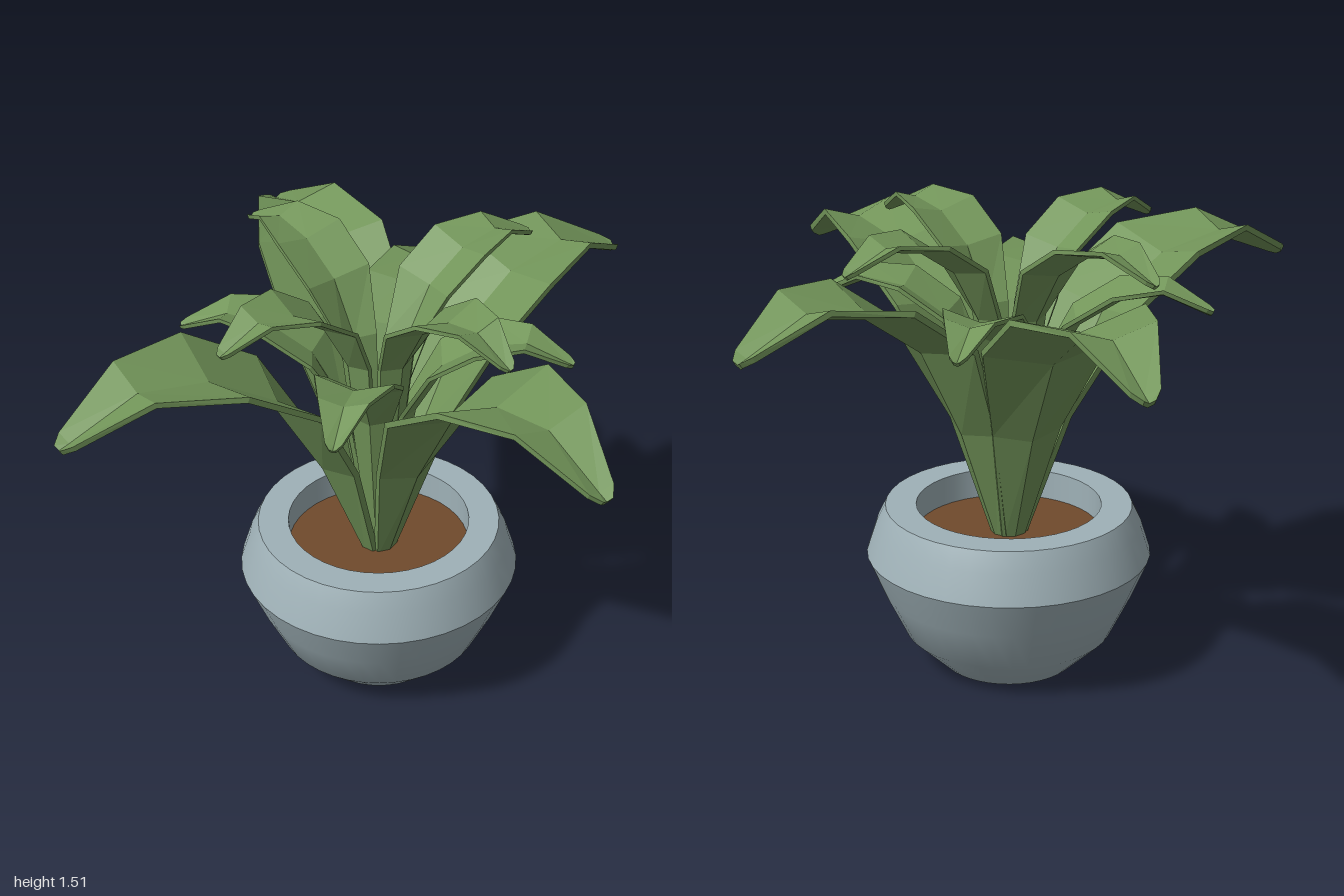
import * as THREE from 'three';

const leafMat = new THREE.MeshStandardMaterial({ color: 0x73965a, flatShading: true });
const potMat = new THREE.MeshStandardMaterial({ color: 0x9fb1b7 });
const soilMat = new THREE.MeshStandardMaterial({ color: 0x704a2c });

// Leaf stations: distance out, height of the edges, half width, fold depth
const STATIONS = [
  [0.02, 0.43, 0.035, 0.012],
  [0.14, 0.85, 0.115, 0.05],
  [0.31, 1.18, 0.21, 0.06],
  [0.56, 1.35, 0.215, 0.06],
  [0.82, 1.38, 0.135, 0.045],
  [1.045, 1.26, 0.046, 0.02],
  [1.075, 1.24, 0.018, 0.012],
];

// Smaller leaf: the same arch shrunk and lifted, on a stem down to the soil
function smallStations(size, lift) {
  const arch = STATIONS.slice(1).map(([x, y, w, fold]) => [x * size, y * size + lift, w * size, fold * size]);
  return [[0.01, 0.43, 0.025, 0.01], ...arch];
}

// Arching leaf with a V fold and a little thickness, growing towards +x
function leafGeometry(stations, thick) {
  const pos = [];
  const index = [];
  const last = stations.length - 1;
  stations.forEach(([x, y, w, fold], i) => {
    const a = stations[Math.max(i - 1, 0)];
    const b = stations[Math.min(i + 1, last)];
    const len = Math.hypot(b[0] - a[0], b[1] - a[1]);
    const nx = -(b[1] - a[1]) / len;
    const ny = (b[0] - a[0]) / len;
    // Ring: top edge, top rib, top edge, then the same underneath
    const ring = [[0, -w], [fold, 0], [0, w], [thick, w], [fold + thick, 0], [thick, -w]];
    for (const [d, z] of ring) pos.push(x - nx * d, y - ny * d, z);
  });
  const quad = (a, b, c, d) => index.push(a, b, c, a, c, d);
  for (let i = 0; i < last; i++) {
    for (let j = 0; j < 6; j++) {
      const k = (j + 1) % 6;
      quad(i * 6 + j, i * 6 + k, i * 6 + 6 + k, i * 6 + 6 + j);
    }
  }
  // End caps
  const t = last * 6;
  quad(t, t + 1, t + 4, t + 5);
  quad(t + 1, t + 2, t + 3, t + 4);
  quad(5, 4, 1, 0);
  quad(4, 3, 2, 1);
  const g = new THREE.BufferGeometry();
  g.setAttribute('position', new THREE.Float32BufferAttribute(pos, 3));
  g.setIndex(index);
  const flat = g.toNonIndexed();
  flat.computeVertexNormals();
  return flat;
}

// Pot made of lathed bands, split where the edges are sharp
function makePot() {
  const pot = new THREE.Group();
  pot.name = 'pot';
  const bands = {
    potBase: [[0, 0], [0.22, 0]],
    potBowl: [[0.22, 0], [0.34, 0.115], [0.41, 0.26], [0.462, 0.385]],
    potShoulder: [[0.462, 0.385], [0.43, 0.485], [0.4, 0.547]],
    potRim: [[0.4, 0.547], [0.3, 0.547]],
    potInnerWall: [[0.3, 0.547], [0.3, 0.43]],
  };
  for (const [name, pts] of Object.entries(bands)) {
    const profile = pts.map(([r, y]) => new THREE.Vector2(r, y));
    const mesh = new THREE.Mesh(new THREE.LatheGeometry(profile, 40), potMat);
    mesh.name = name;
    pot.add(mesh);
  }
  const soil = new THREE.Mesh(new THREE.CircleGeometry(0.3, 40), soilMat);
  soil.name = 'soil';
  soil.rotation.x = -Math.PI / 2;
  soil.position.y = 0.45;
  pot.add(soil);
  return pot;
}

export function createModel() {
  const model = new THREE.Group();
  model.name = 'pottedPlant';
  const plant = new THREE.Group();
  plant.position.set(-0.08, 0, -0.03);
  plant.add(makePot());

  // Leaf tiers, with [angle from +x towards +z, stretch] per leaf
  const tiers = [
    {
      name: 'largeLeaf', geo: leafGeometry(STATIONS, 0.02),
      leaves: [[-73.5, 0.94], [17, 1], [112, 1.03], [214, 0.96]],
    },
    {
      name: 'lowerSmallLeaf', geo: leafGeometry(smallStations(0.58, 0.51), 0.014),
      leaves: [[250, 1], [336, 1], [67, 0.97], [155, 1.03]],
    },
    {
      name: 'upperSmallLeaf', geo: leafGeometry(smallStations(0.58, 0.705), 0.014),
      leaves: [[14, 0.97], [105, 0.97], [194, 1.03], [287, 1]],
    },
  ];
  for (const { name, geo, leaves } of tiers) {
    for (const [angle, stretch] of leaves) {
      const leaf = new THREE.Mesh(geo, leafMat);
      leaf.name = name;
      leaf.scale.x = stretch;
      leaf.rotation.y = -THREE.MathUtils.degToRad(angle);
      plant.add(leaf);
    }
  }
  model.add(plant);
  return model;
}
